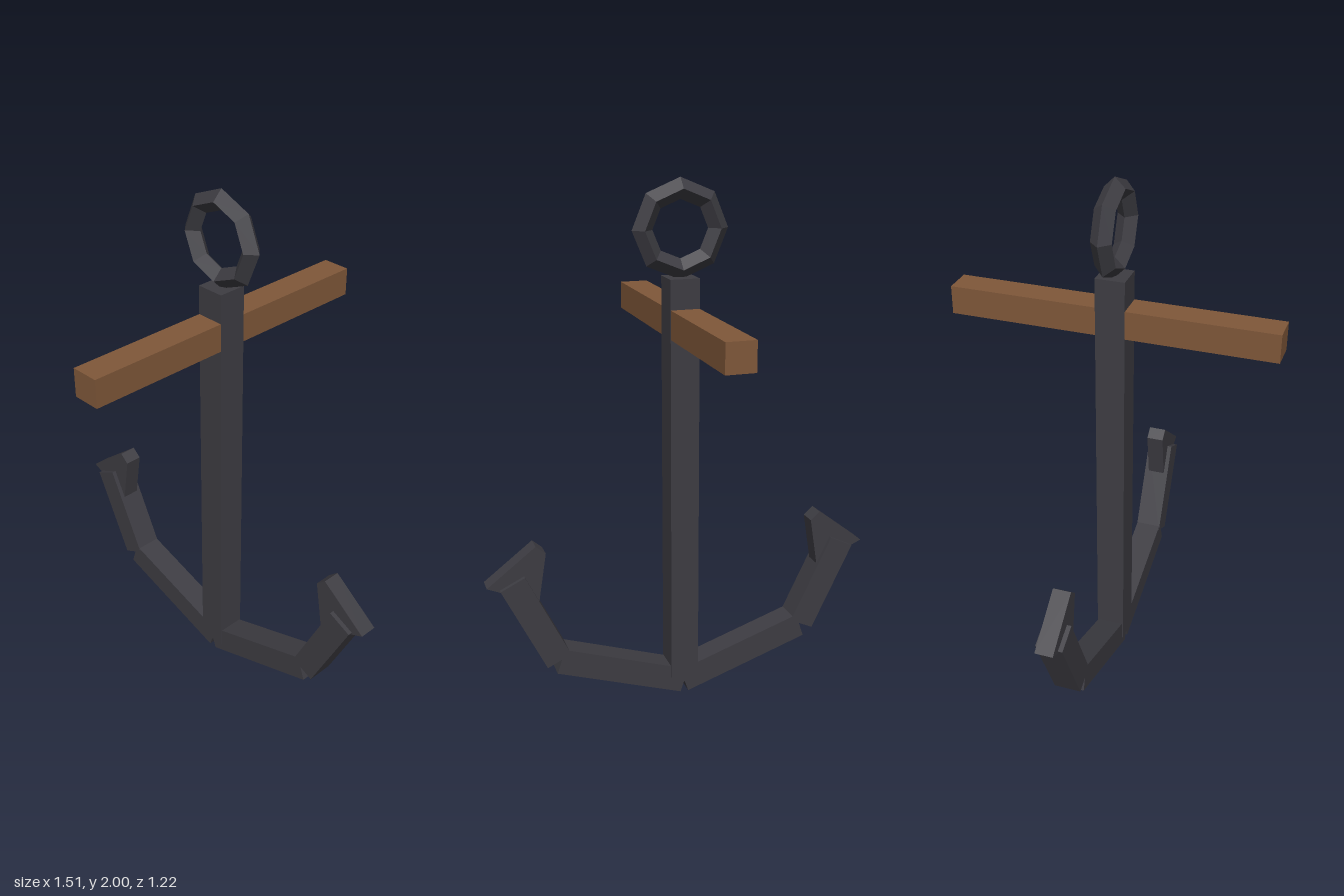
import * as THREE from 'three';

export function createModel() {
  const iron = new THREE.MeshStandardMaterial({ color: 0x3d3c42 });
  iron.name = 'dark iron';
  iron.flatShading = true;
  const wood = new THREE.MeshStandardMaterial({ color: 0x7f5739 });
  wood.name = 'brown wood';
  wood.flatShading = true;

  const model = new THREE.Group();
  model.name = 'anchor';

  function add(name, geometry, material, x = 0, y = 0, z = 0) {
    const mesh = new THREE.Mesh(geometry, material);
    mesh.name = name;
    mesh.position.set(x, y, z);
    model.add(mesh);
    return mesh;
  }

  // Square bar between two points in the front plane
  function bar(name, [x1, y1], [x2, y2], width) {
    const length = Math.hypot(x2 - x1, y2 - y1);
    const mesh = add(name, new THREE.BoxGeometry(length, width, width), iron,
      (x1 + x2) / 2, (y1 + y2) / 2);
    mesh.rotation.z = Math.atan2(y2 - y1, x2 - x1);
  }

  // Upright shank, wooden crossbar and eight-sided ring
  add('shank', new THREE.BoxGeometry(0.11, 1.6, 0.11), iron, 0, 0.85);
  add('stock', new THREE.BoxGeometry(0.109, 0.107, 1.215), wood, 0, 1.487);
  add('ring', new THREE.TorusGeometry(0.142, 0.038, 4, 8), iron, 0, 1.82);

  // Two-piece arms, each ending in a flat fluke
  const fluke = [[0.757, 0.55], [0.571, 0.693], [0.534, 0.661], [0.566, 0.466]];
  const depth = 0.068;
  for (const [side, s] of [['left', 1], ['right', -1]]) {
    bar(side + 'LowerArm', [0, 0.052], [s * 0.493, 0.217], 0.1);
    bar(side + 'UpperArm', [s * 0.5, 0.222], [s * 0.664, 0.56], 0.102);

    const shape = new THREE.Shape(fluke.map(([x, y]) => new THREE.Vector2(s * x, y)));
    add(side + 'Fluke', new THREE.ExtrudeGeometry(shape, { depth, bevelEnabled: false }),
      iron, 0, 0, -depth / 2);
  }

  return model;
}
